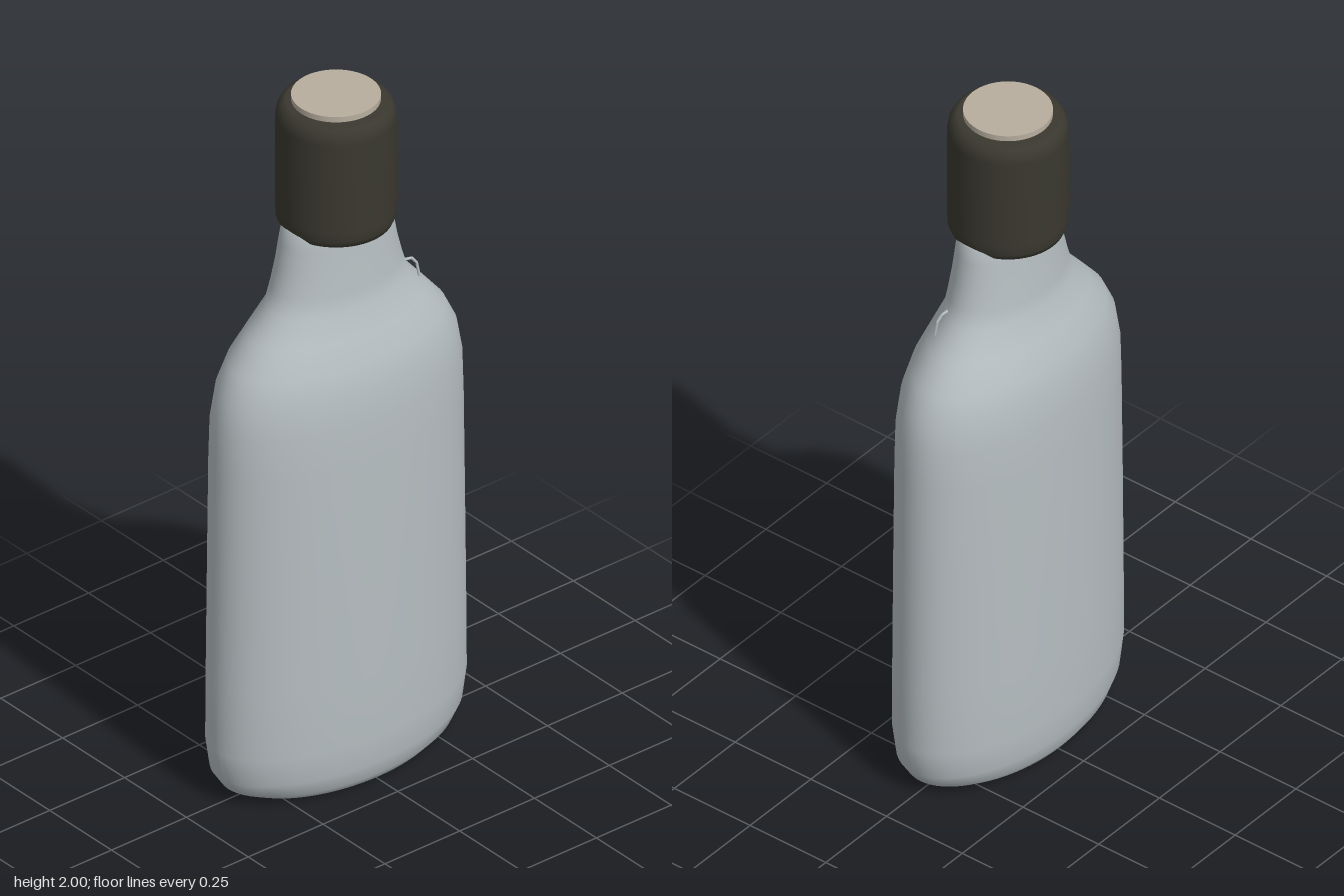
import * as THREE from 'three';
import { mergeVertices } from 'three/addons/utils/BufferGeometryUtils.js';

const mat = (name, color) => {
  const m = new THREE.MeshStandardMaterial({ color });
  m.name = name;
  return m;
};

// Smooth loft through elliptical sections given as [y, half width, half depth]
function ellipseLoft(sections, segments) {
  const profile = sections.map(([y, rx]) => new THREE.Vector2(rx, y));
  const g = new THREE.LatheGeometry(profile, segments);
  const p = g.attributes.position;
  for (let i = 0; i < p.count; i++) {
    const [, rx, rz] = sections[i % sections.length];
    p.setZ(i, p.getZ(i) * rz / rx);
  }
  g.deleteAttribute('uv');
  g.deleteAttribute('normal');
  const merged = mergeVertices(g, 1e-5);
  merged.computeVertexNormals();
  return merged;
}

export function createModel() {
  const group = new THREE.Group();
  const glass = mat('pale grey glass', 0xb6bec1);
  const dark = mat('dark cap', 0x3a382f);
  const beige = mat('beige stopper', 0xb8ae9f);
  const add = (name, geometry, material) => {
    const mesh = new THREE.Mesh(geometry, material);
    mesh.name = name;
    group.add(mesh);
    return mesh;
  };

  // Flattened bottle: rounded foot, straight sides, sloping shoulder, neck
  const sections = [
    [0, 0.29, 0.16], [0.008, 0.315, 0.172], [0.03, 0.36, 0.187],
    [0.075, 0.39, 0.199], [0.16, 0.403, 0.206], [0.35, 0.401, 0.207],
    [0.7, 0.396, 0.207], [1.0, 0.392, 0.205], [1.12, 0.388, 0.203],
    [1.21, 0.371, 0.195], [1.28, 0.336, 0.179], [1.35, 0.277, 0.152],
    [1.42, 0.216, 0.125], [1.47, 0.199, 0.12], [1.53, 0.183, 0.114],
    [1.6, 0.17, 0.108], [1.64, 0.161, 0.105], [1.648, 0.15, 0.1],
  ];
  add('bottleBody', ellipseLoft(sections, 72), glass);

  // Flat underside
  const base = add('bottleBase', new THREE.CircleGeometry(1, 72), glass);
  base.rotation.x = Math.PI / 2;
  base.scale.set(0.29, 0.16, 1);

  // Cap with rounded rims
  const cap = [
    [0, 1.62], [0.135, 1.62], [0.148, 1.624], [0.156, 1.642], [0.157, 1.67],
    [0.157, 1.935], [0.154, 1.957], [0.144, 1.975], [0.13, 1.984], [0, 1.984],
  ].map(([r, y]) => new THREE.Vector2(r, y));
  add('cap', new THREE.LatheGeometry(cap, 64), dark);

  // Stopper disc on top of the cap
  const stopper = add('stopperDisc', new THREE.CylinderGeometry(0.116, 0.116, 0.03, 64), beige);
  stopper.position.y = 1.985;

  // Small wire hook on the left shoulder
  const hook = new THREE.CurvePath();
  const pts = [[0.185, 1.44, 0.042], [0.215, 1.437, 0.046], [0.228, 1.42, 0.05], [0.234, 1.38, 0.054]]
    .map((a) => new THREE.Vector3(...a));
  for (let i = 0; i < pts.length - 1; i++) hook.add(new THREE.LineCurve3(pts[i], pts[i + 1]));
  add('shoulderHook', new THREE.TubeGeometry(hook, 18, 0.004, 8), glass);

  return group;
}
